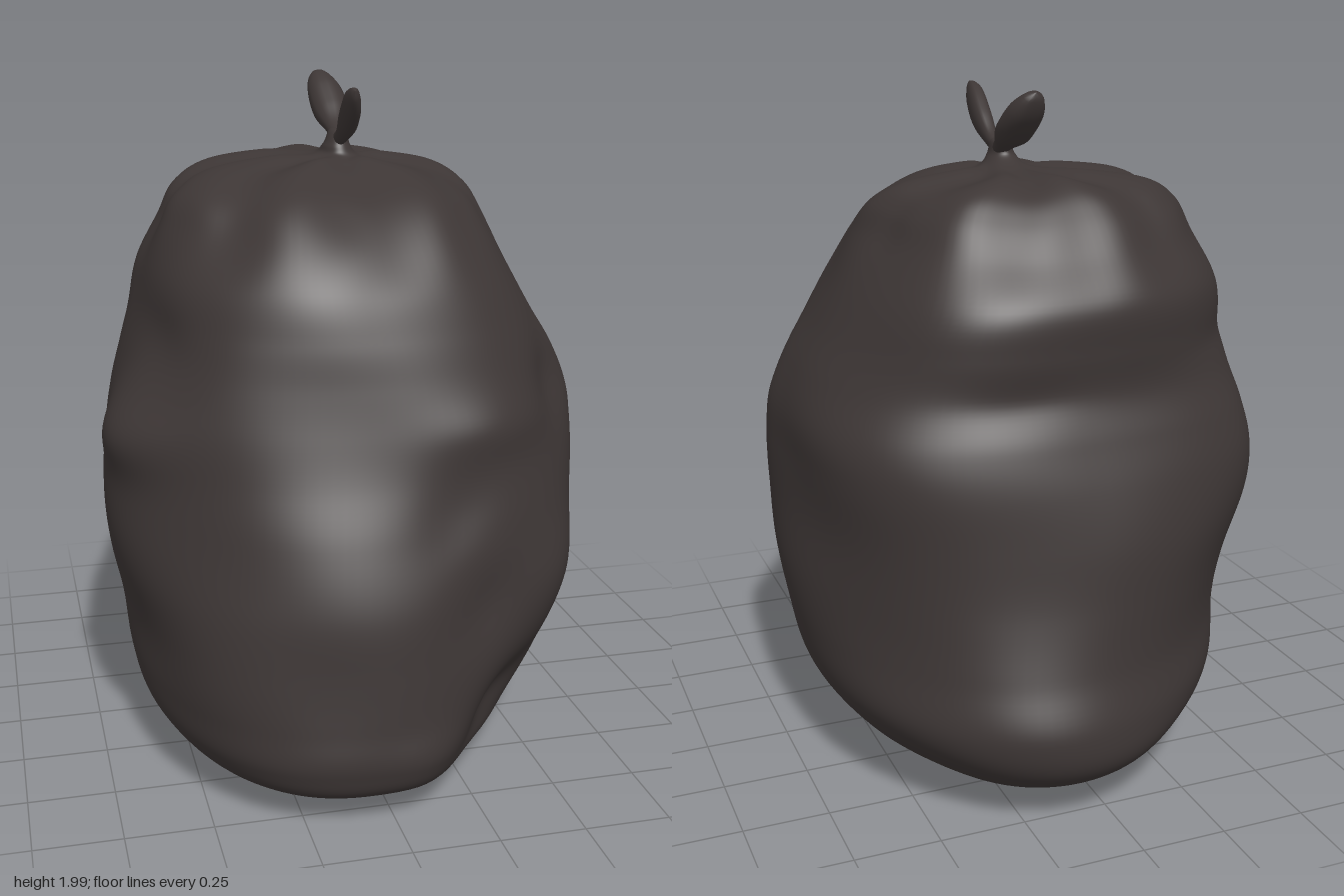
import * as THREE from 'three';

const plastic = new THREE.MeshStandardMaterial({ color: 0x3d3635 });
plastic.name = 'dark plastic';

// Closed skin over loops of points; each ring holds `n` Vector3, listed from start to end
function skin(rings, n) {
  const pos = [], idx = [];
  rings.forEach(r => r.forEach(p => pos.push(p.x, p.y, p.z)));
  for (let i = 0; i < rings.length - 1; i++) {
    for (let j = 0; j < n; j++) {
      const a = i * n + j, b = i * n + (j + 1) % n, c = a + n, d = b + n;
      idx.push(a, c, b, b, c, d);
    }
  }
  const g = new THREE.BufferGeometry();
  g.setAttribute('position', new THREE.Float32BufferAttribute(pos, 3));
  g.setIndex(idx);
  g.computeVertexNormals();
  return g;
}

// Bag outline: height, left/right extent in x, back/front extent in z
const outline = [
  [0.005, 0, 0, 0, 0],
  [0.01, -0.2, 0.22, -0.25, 0.25],
  [0.03, -0.36, 0.38, -0.52, 0.54],
  [0.085, -0.5, 0.51, -0.73, 0.82],
  [0.18, -0.6, 0.6, -0.86, 0.885],
  [0.3, -0.64, 0.68, -0.88, 0.885],
  [0.45, -0.655, 0.72, -0.83, 0.87],
  [0.62, -0.685, 0.745, -0.795, 0.845],
  [0.8, -0.7, 0.74, -0.77, 0.785],
  [0.95, -0.69, 0.735, -0.735, 0.725],
  [1.08, -0.665, 0.725, -0.69, 0.685],
  [1.2, -0.63, 0.68, -0.645, 0.65],
  [1.32, -0.595, 0.61, -0.645, 0.615],
  [1.45, -0.56, 0.54, -0.64, 0.56],
  [1.57, -0.5, 0.48, -0.56, 0.46],
  [1.66, -0.45, 0.43, -0.49, 0.34],
  [1.72, -0.35, 0.34, -0.42, 0.19],
  [1.75, -0.16, 0.18, -0.33, 0.09],
  [1.76, -0.03, 0.11, -0.18, 0.03],
  [1.79, 0, 0.08, -0.1, 0.01],
  [1.83, 0.02, 0.07, -0.09, -0.01],
  [1.84, 0.045, 0.045, -0.05, -0.05],
];

// Bulges and hollows: angle (0 = +x, 90 = front), height, angular spread, height spread, depth
const dents = [
  // knob on one side with a hollow over it
  [156, 1.03, 15, 0.12, 0.1], [153, 1.28, 14, 0.1, -0.04], [160, 0.7, 18, 0.2, 0.035],
  // diagonal valley across the front, and the bulges beside it
  [75, 0.85, 10, 0.12, -0.03], [64, 0.6, 10, 0.12, -0.035], [48, 0.25, 11, 0.11, -0.08],
  [42, 0.58, 13, 0.2, 0.05], [70, 0.17, 12, 0.12, 0.045], [66, 1.08, 14, 0.08, 0.03],
  // hollow high on the other side
  [36, 1.13, 12, 0.13, -0.07],
  // rear corner bulges and soft creases under them
  [-45, 1.05, 24, 0.2, 0.06], [-52, 1.4, 26, 0.18, 0.07], [-45, 0.12, 20, 0.14, -0.03],
  [-135, 1.0, 20, 0.3, 0.035], [-150, 1.42, 20, 0.09, 0.01], [-140, 1.29, 22, 0.05, -0.015],
  [-135, 0.1, 22, 0.12, -0.06], [-75, 1.2, 12, 0.06, -0.015],
  // front lower corner and shoulder shapes
  [130, 0.5, 18, 0.2, 0.02], [170, 1.6, 14, 0.1, 0.02], [135, 1.62, 14, 0.1, -0.03],
  [-18, 1.62, 14, 0.1, -0.05], [95, 1.66, 10, 0.08, -0.05],
];

function bagGeometry() {
  const n = 128, steps = 168;
  const curve = (x, z) => new THREE.CatmullRomCurve3(
    outline.map(r => new THREE.Vector3(r[x], r[0], r[z])), false, 'catmullrom', 0.5);
  const low = curve(1, 3), high = curve(2, 4), rings = [];
  const smooth = THREE.MathUtils.smoothstep;
  for (let i = 0; i <= steps; i++) {
    const p = low.getPoint(i / steps), q = high.getPoint(i / steps), y = p.y;
    const rx = (q.x - p.x) / 2, rz = (q.z - p.z) / 2, ring = [];
    const pleat = smooth(y, 1.4, 1.72) * smooth(rx, 0.03, 0.2);
    const body = smooth(y, 0.1, 0.4) * (1 - smooth(y, 1.5, 1.72));
    // Sections grow squarer towards the shoulders
    const power = 2 + 0.35 * smooth(y, 0.5, 1.1) * smooth(rx, 0.1, 0.4);
    for (let j = 0; j < n; j++) {
      const t = j / n * Math.PI * 2, c = Math.cos(t), s = Math.sin(t);
      // Gathered pleats near the knot, faint ripples on the sides
      let k = (Math.abs(c) ** power + Math.abs(s) ** power) ** (-1 / power);
      k += pleat * (0.015 * Math.sin(7 * t + 1) + 0.014 * Math.sin(13 * t + 4 * y));
      k += body * 0.005 * (Math.sin(5 * t + 7 * y) + Math.sin(7 * t - 9 * y + 2));
      for (const [a, h, sa, sh, d] of dents) {
        let da = t * 180 / Math.PI - a;
        da -= 360 * Math.round(da / 360);
        k += d * Math.exp(-((da / sa) ** 2) - ((y - h) / sh) ** 2) * smooth(rx, 0.05, 0.3);
      }
      const z = (p.z + q.z) / 2 + rz * k * s;
      const skew = -0.12 * z * (1 - smooth(y, 0.2, 1.0));
      const lift = pleat * 0.01 * Math.sin(7 * t + 1);
      ring.push(new THREE.Vector3((p.x + q.x) / 2 + rx * k * c + skew, Math.max(0, y + lift), z));
    }
    rings.push(ring);
  }
  return skin(rings, n);
}

// Leaf-shaped knot end: path points with half width in x and half thickness across the path
function earGeometry(path, widths, thicknesses) {
  const n = 16, steps = 32, rings = [];
  const spine = new THREE.CatmullRomCurve3(path.map(p => new THREE.Vector3(...p)));
  const size = new THREE.CatmullRomCurve3(
    widths.map((w, i) => new THREE.Vector3(w, thicknesses[i], 0)), false, 'catmullrom', 0.5);
  const side = new THREE.Vector3(1, 0, 0);
  for (let i = 0; i <= steps; i++) {
    const u = i / steps, p = spine.getPoint(u);
    const s = size.getPoint(u).multiplyScalar(Math.sqrt(1 - u ** 10)); // rounded tip
    const up = new THREE.Vector3().crossVectors(spine.getTangent(u), side).normalize();
    const ring = [];
    for (let j = 0; j < n; j++) {
      const t = -j / n * Math.PI * 2;
      const crease = 1 - 0.2 * Math.max(0, Math.sin(t)) ** 4;
      ring.push(p.clone().addScaledVector(side, Math.cos(t) * s.x)
        .addScaledVector(up, Math.sin(t) * s.y * crease));
    }
    rings.push(ring);
  }
  return skin(rings, n);
}

export function createModel() {
  const group = new THREE.Group();
  group.name = 'tiedSack';
  const add = (name, geometry) => {
    const mesh = new THREE.Mesh(geometry, plastic);
    mesh.name = name;
    group.add(mesh);
  };
  add('sackBody', bagGeometry());
  // Knot ends: a thin one to the front, a broad one to the back
  add('frontKnotEnd', earGeometry(
    [[0.045, 1.8, -0.06], [0.04, 1.825, 0.03], [0.035, 1.875, 0.12], [0.025, 1.93, 0.21], [0.015, 1.97, 0.285]],
    [0.02, 0.02, 0.028, 0.026, 0.016], [0.025, 0.026, 0.046, 0.05, 0.03]));
  add('backKnotEnd', earGeometry(
    [[0.045, 1.8, -0.03], [0.055, 1.83, -0.11], [0.06, 1.87, -0.19], [0.055, 1.93, -0.265], [0.045, 1.99, -0.32]],
    [0.02, 0.032, 0.055, 0.055, 0.04], [0.025, 0.027, 0.046, 0.046, 0.03]));
  return group;
}
